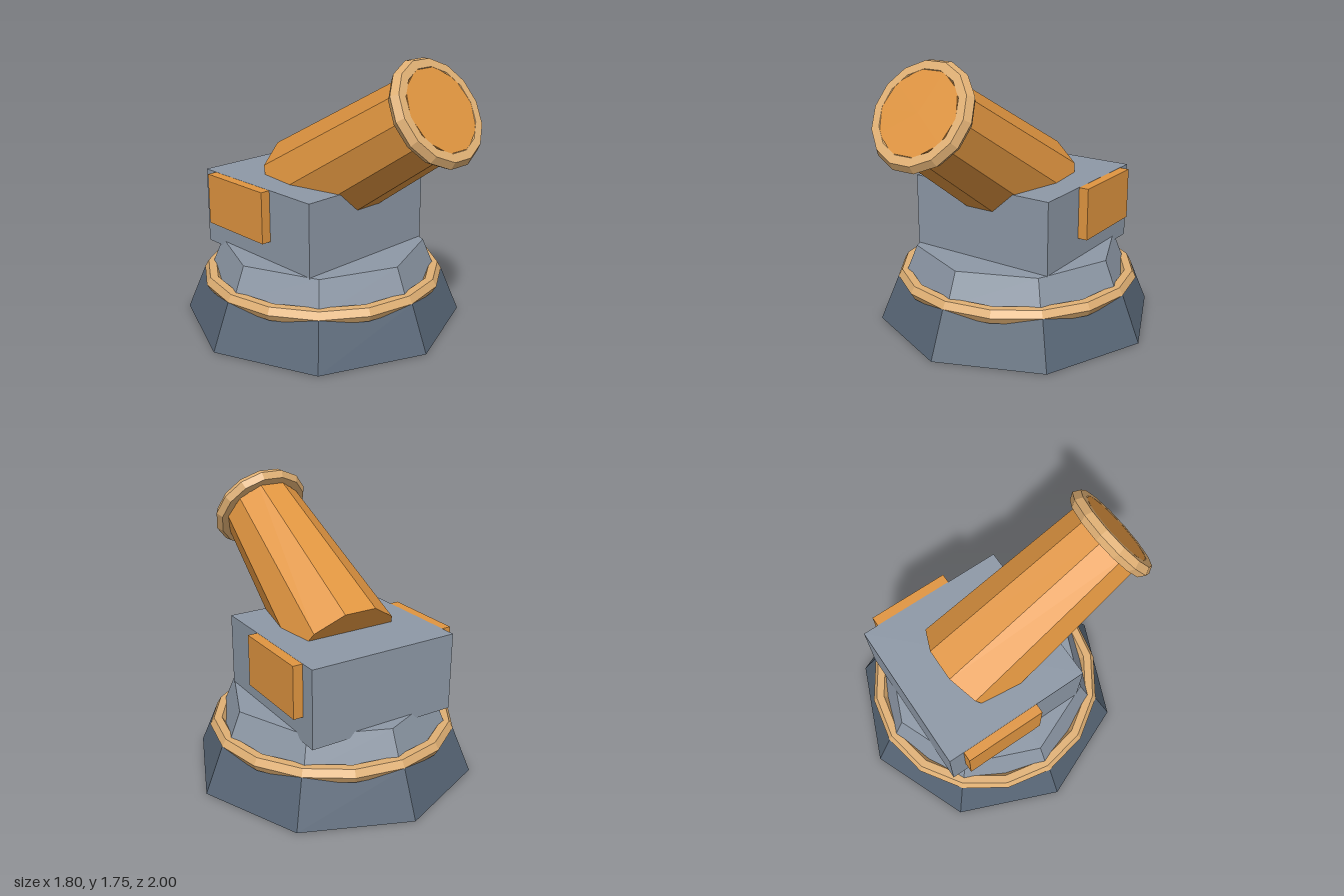
import * as THREE from 'three';

export function createModel() {
  const model = new THREE.Group();
  model.name = 'cannonTurret';

  const material = (name, color) => {
    const m = new THREE.MeshStandardMaterial({ color });
    m.name = name;
    return m;
  };
  const slate = material('dark slate', 0x586676);
  const steel = material('grey steel', 0x8d98a6);
  const orange = material('orange', 0xe09540);
  const tan = material('light tan', 0xe0b074);

  // Adds a faceted part
  const add = (parent, name, geometry, mat, x = 0, y = 0, z = 0) => {
    const flat = geometry.toNonIndexed();
    flat.computeVertexNormals();
    const mesh = new THREE.Mesh(flat, mat);
    mesh.name = name;
    mesh.position.set(x, y, z);
    parent.add(mesh);
    return mesh;
  };

  // Octagonal pedestal in two tiers, set slightly back
  const baseZ = -0.1;
  add(model, 'lowerBase', new THREE.CylinderGeometry(0.78, 0.9, 0.29, 8), slate, 0, 0.145, baseZ);
  add(model, 'upperBase', new THREE.CylinderGeometry(0.655, 0.737, 0.2, 8), steel, 0, 0.39, baseZ);

  // Trim ring around the pedestal
  const trim = new THREE.TorusGeometry(0.73, 0.05, 6, 16).rotateX(-Math.PI / 2);
  add(model, 'baseRing', trim, tan, 0, 0.29, baseZ);

  // Housing with a plate on each side
  add(model, 'housing', new THREE.BoxGeometry(0.98, 0.49, 0.98), steel, 0, 0.7, -0.18);
  for (const [name, side] of [['leftPlate', 1], ['rightPlate', -1]]) {
    add(model, name, new THREE.BoxGeometry(0.08, 0.326, 0.53), orange, side * 0.512, 0.781, -0.305);
  }

  // Barrel assembly: local +z runs along the barrel, origin at the muzzle ring
  const gun = new THREE.Group();
  gun.name = 'gun';
  gun.position.set(0, 1.477, 0.808);
  gun.rotation.x = -0.56;
  model.add(gun);

  const front = 0.0425;
  const length = 1.275;
  const barrel = new THREE.CylinderGeometry(0.257, 0.345, length, 10)
    .rotateY(Math.PI / 2)
    .rotateX(Math.PI / 2);
  add(gun, 'barrel', barrel, orange, 0, 0, front - length / 2);
  add(gun, 'muzzleRing', new THREE.TorusGeometry(0.28, 0.05, 6, 14), tan);

  return model;
}
